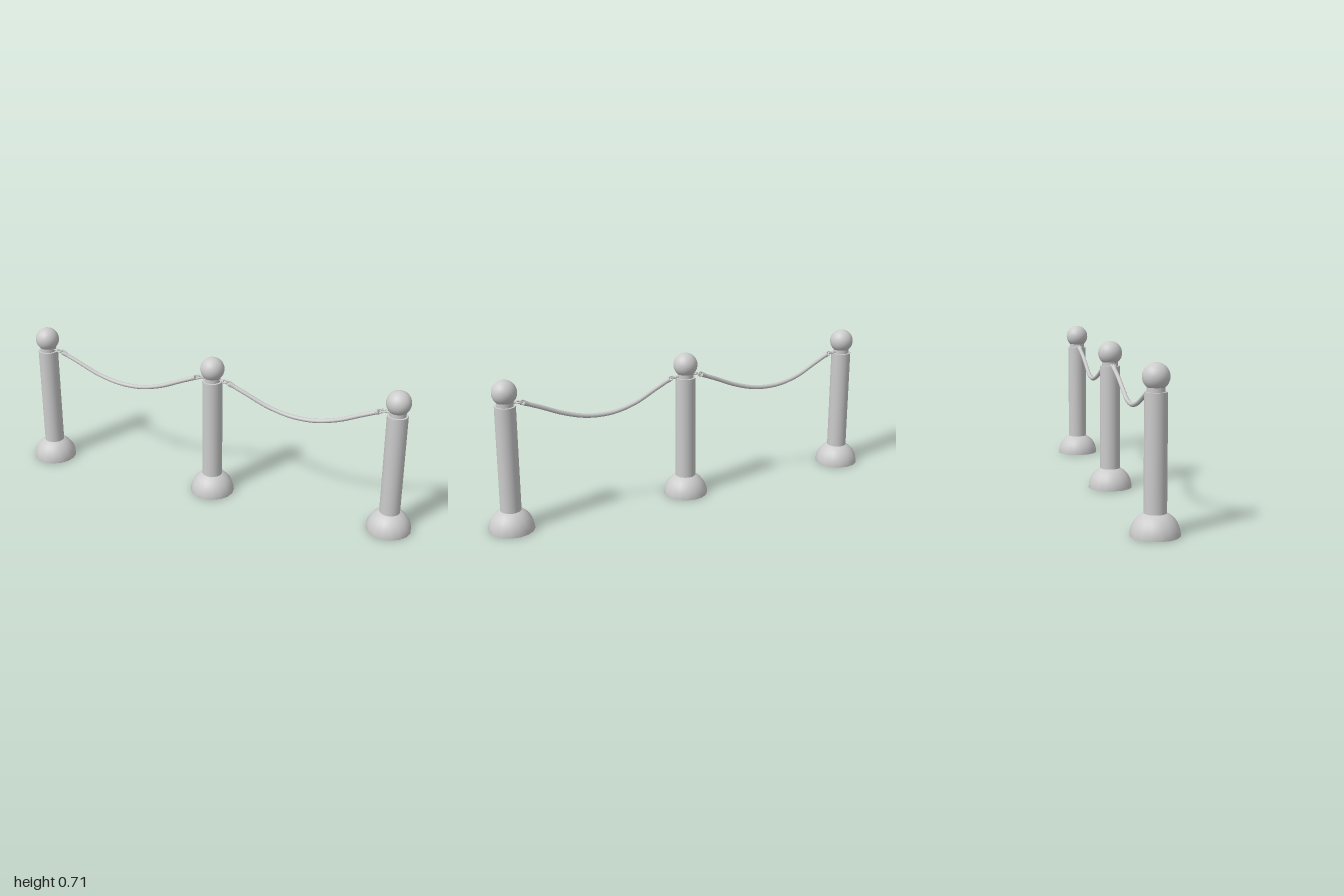
import * as THREE from 'three';

const material = new THREE.MeshStandardMaterial({ color: 0xcccccc, side: THREE.DoubleSide });
const SPACING = 0.894;

function add(parent, name, geometry, x = 0, y = 0, z = 0) {
  const mesh = new THREE.Mesh(geometry, material);
  mesh.name = name;
  mesh.position.set(x, y, z);
  parent.add(mesh);
  return mesh;
}

// One bollard: domed foot, shaft, recessed neck and ball
function createPost(x) {
  const post = new THREE.Group();
  post.name = 'post';
  post.position.x = x;
  add(post, 'baseDome', new THREE.SphereGeometry(0.106, 16, 10, 0, Math.PI * 2, 0, Math.PI / 2));
  add(post, 'baseUnderside', new THREE.CircleGeometry(0.106, 16).rotateX(Math.PI / 2));
  add(post, 'shaft', new THREE.CylinderGeometry(0.048, 0.048, 0.51, 24), 0, 0.335);
  add(post, 'neck', new THREE.CylinderGeometry(0.038, 0.038, 0.04, 24), 0, 0.6);
  add(post, 'ball', new THREE.SphereGeometry(0.057, 28, 18), 0, 0.651);
  return post;
}

// Eye on the neck, and the hook linking it to the rope end
function createLink(x, side) {
  const link = new THREE.Group();
  link.name = 'ropeLink';
  link.position.set(x, 0.598, 0);
  link.scale.x = side;
  const stem = add(link, 'eyeStem', new THREE.CylinderGeometry(0.005, 0.005, 0.02, 8), 0.045);
  stem.rotation.z = Math.PI / 2;
  const eye = add(link, 'eyeRing', new THREE.TorusGeometry(0.014, 0.004, 8, 20), 0.066);
  eye.rotation.x = Math.PI / 2;
  const hook = add(link, 'hookRing', new THREE.TorusGeometry(0.01, 0.0035, 8, 16), 0.08, -0.004);
  hook.rotation.z = -0.4;
  const cap = add(link, 'ropeCap', new THREE.CylinderGeometry(0.013, 0.009, 0.028, 12), 0.1, -0.013);
  cap.rotation.z = Math.PI / 2 - 0.42;
  return link;
}

// Sagging rope with a slight sideways sway
function createRope(x) {
  const points = [
    [-0.353, 0.587, 0], [-0.28, 0.554, -0.004], [-0.18, 0.508, -0.009],
    [-0.08, 0.482, -0.009], [0, 0.477, -0.006], [0.08, 0.485, -0.002],
    [0.18, 0.514, 0.003], [0.28, 0.557, 0.003], [0.353, 0.587, 0],
  ].map((p) => new THREE.Vector3(...p));
  const rope = new THREE.Mesh(
    new THREE.TubeGeometry(new THREE.CatmullRomCurve3(points), 48, 0.01, 10), material);
  rope.name = 'rope';
  rope.position.x = x;
  return rope;
}

export function createModel() {
  const model = new THREE.Group();
  model.name = 'ropeBarrier';
  for (const i of [-1, 0, 1]) model.add(createPost(i * SPACING));
  for (const i of [-1, 0]) {
    model.add(createLink(i * SPACING, 1));
    model.add(createRope((i + 0.5) * SPACING));
    model.add(createLink((i + 1) * SPACING, -1));
  }
  return model;
}
